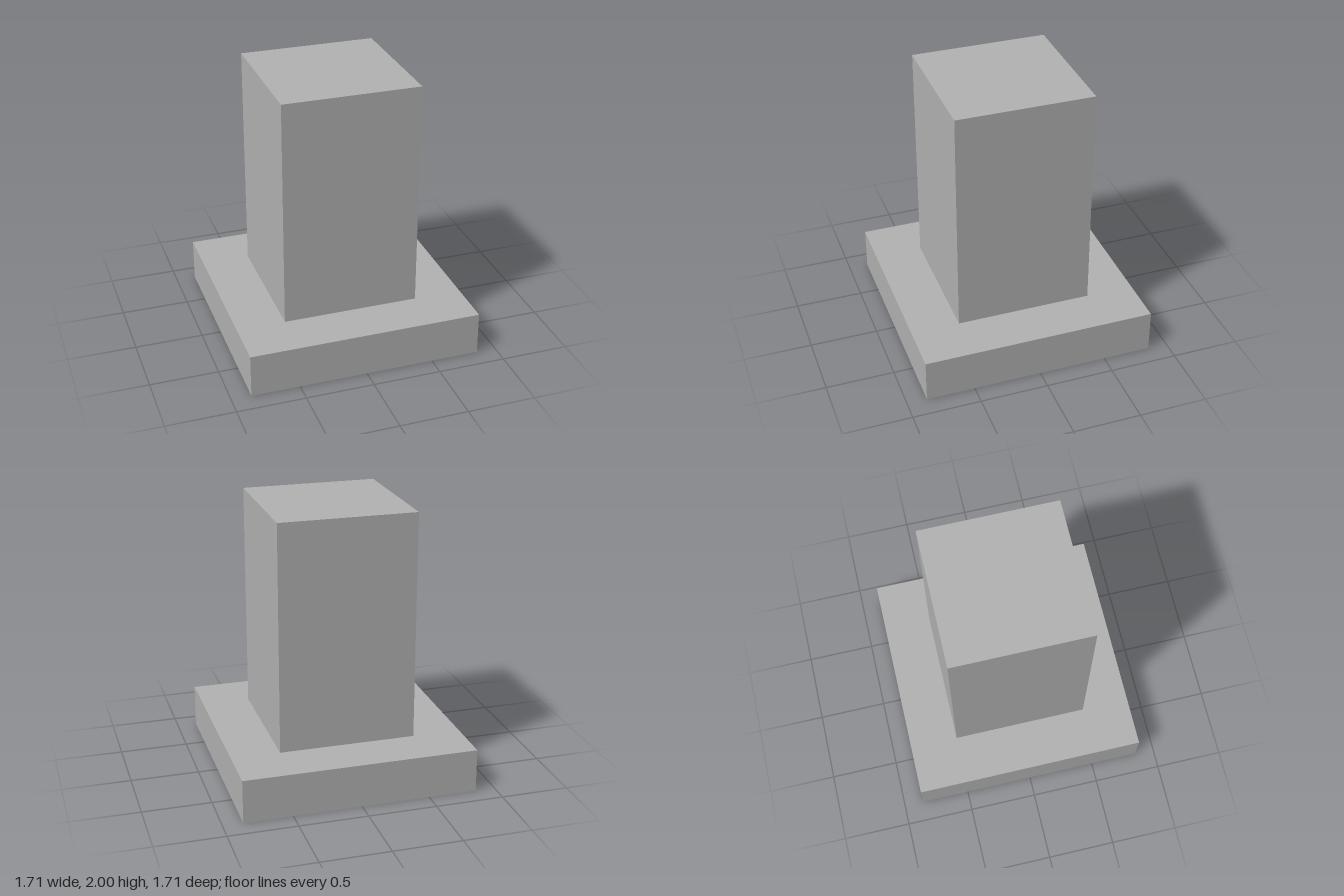
import * as THREE from 'three';

const grey = new THREE.MeshStandardMaterial({ color: 0xb2b2b2 });
grey.name = 'grey';

// Sweeps a profile of [half width, height] points around a square plan
function squareSweep(name, profile) {
  const points = profile.map(([half, y]) => new THREE.Vector2(half * Math.SQRT2, y));
  const geometry = new THREE.LatheGeometry(points, 4, Math.PI / 4).toNonIndexed();
  geometry.computeVertexNormals();
  const mesh = new THREE.Mesh(geometry, grey);
  mesh.name = name;
  return mesh;
}

export function createModel() {
  const baseHalf = 0.855, baseTop = 0.32;
  const columnHalf = 0.5, height = 2;
  const wall = 0.17;
  const socketHalf = columnHalf - wall;

  const model = new THREE.Group();
  model.name = 'columnOnFooting';
  model.add(
    // Square footing with an opening underneath
    squareSweep('footing', [[socketHalf, 0], [baseHalf, 0], [baseHalf, baseTop], [columnHalf, baseTop]]),
    // Column with a closed top
    squareSweep('column', [[columnHalf, baseTop], [columnHalf, height], [0, height]]),
    // Hollow inside, open at the bottom
    squareSweep('socket', [[0, height - wall], [socketHalf, height - wall], [socketHalf, 0]]),
  );
  return model;
}
